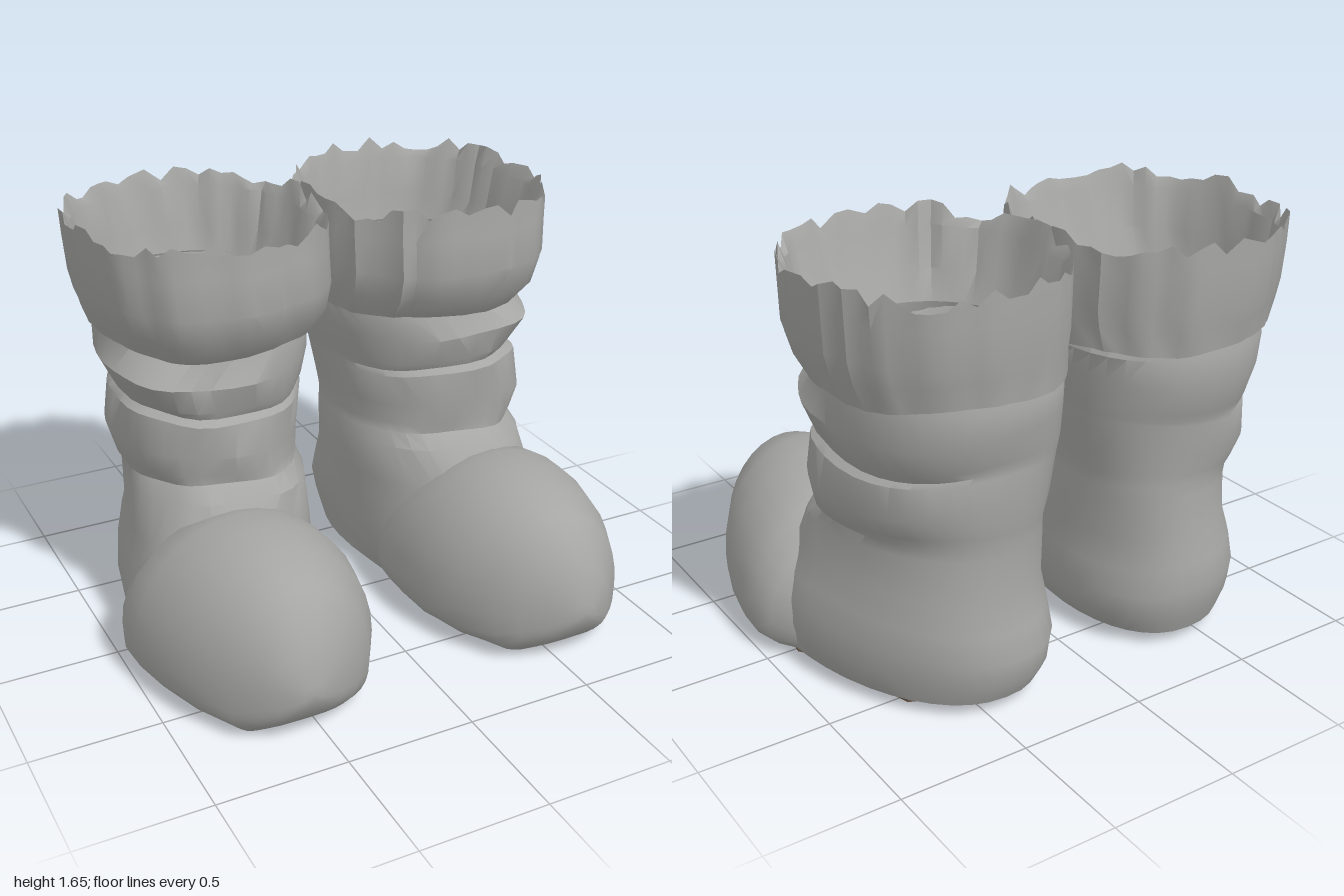
import * as THREE from 'three';
import { toCreasedNormals } from 'three/addons/utils/BufferGeometryUtils.js';

const leather = new THREE.MeshStandardMaterial({ color: 0xa6a6a4, side: THREE.DoubleSide });
leather.name = 'grey leather';
const soleBrown = new THREE.MeshStandardMaterial({ color: 0x675646, side: THREE.DoubleSide });
soleBrown.name = 'brown sole';

function seeded(seed) {
  return () => {
    seed = (seed * 16807) % 2147483647;
    return seed / 2147483647;
  };
}

// Skin over closed rings of points; the last ring can be closed with a fan
function loft(rings, capEnd, crease) {
  const n = rings[0].length;
  const pos = rings.flat(2);
  const index = [];
  for (let r = 0; r < rings.length - 1; r++) {
    for (let i = 0; i < n; i++) {
      const j = (i + 1) % n, a = r * n, b = a + n;
      index.push(a + i, b + i, a + j, a + j, b + i, b + j);
    }
  }
  if (capEnd) {
    const last = rings[rings.length - 1];
    const mid = [0, 1, 2].map(k => last.reduce((s, p) => s + p[k], 0) / n);
    const c = pos.length / 3, a = (rings.length - 1) * n;
    pos.push(...mid);
    for (let i = 0; i < n; i++) index.push(a + i, c, a + (i + 1) % n);
  }
  const g = new THREE.BufferGeometry();
  g.setAttribute('position', new THREE.Float32BufferAttribute(pos, 3));
  g.setIndex(index);
  return toCreasedNormals(g, crease);
}

const pow = (v, e) => Math.sign(v) * Math.pow(Math.abs(v), e);

// Level rounded ring between the given extents
function levelRing(n, side, y, [x0, x1, z0, z1], change) {
  return Array.from({ length: n }, (_, i) => {
    const a = (i / n) * Math.PI * 2;
    const { grow = 0, lift = 0, taper = 0, shear = 0 } = change(a, i);
    const z = (z0 + z1) / 2 + ((z1 - z0) / 2 + grow) * pow(Math.sin(a), 0.88);
    let x = (x0 + x1) / 2 + ((x1 - x0) / 2 + grow) * pow(Math.cos(a), 0.88);
    x = x0 + (x - x0) * (1 - taper * (z1 - z) / (z1 - z0)) + shear * (z - (z0 + z1) / 2);
    return [side * x, y + lift, z];
  });
}

// Slouching shaft with folds: y, inner x, outer x, back z, front z, narrowing to the heel
const shaftRows = [
  [1.30, 0.10, 0.86, -0.79, 0.04, 0],
  [1.20, 0.05, 0.86, -0.83, 0.05, 0],
  [1.09, 0.07, 0.90, -0.825, 0.12, 0.02],
  [0.98, 0.08, 0.85, -0.80, 0.09, 0.02],
  [0.945, 0.09, 0.825, -0.79, 0.07, 0.02],
  [0.925, 0.09, 0.85, -0.79, 0.10, 0.02],
  [0.79, 0.11, 0.87, -0.785, 0.11, 0.03],
  [0.70, 0.12, 0.84, -0.765, 0.10, 0.03],
  [0.66, 0.12, 0.815, -0.76, 0.10, 0.03],
  [0.61, 0.11, 0.83, -0.76, 0.17, 0.04],
  [0.45, 0.12, 0.87, -0.77, 0.24, 0.09],
  [0.34, 0.115, 0.92, -0.80, 0.28, 0.13],
  [0.24, 0.11, 0.95, -0.825, 0.30, 0.16],
  [0.14, 0.12, 0.965, -0.81, 0.30, 0.18],
  [0.05, 0.14, 0.96, -0.77, 0.30, 0.20],
  [0.006, 0.19, 0.92, -0.65, 0.28, 0.20],
];

function shaft(side, phase) {
  const rings = shaftRows.map(([y, x0, x1, z0, z1, taper]) => levelRing(36, side, y, [x0, x1, z0, z1], a => {
    const free = y > 0.1 && y < 1.2 ? 1 : 0;
    const front = Math.max(0, Math.sin(a + 0.2));
    return {
      grow: free * (0.008 * Math.sin(3 * a + 9 * y + phase) + 0.01 * front * Math.sin(7 * a + 17 * y + phase)),
      lift: free * 0.018 * Math.sin(2 * a + 5 * y + phase),
      taper,
      shear: y < 1.15 ? 0.08 : 0,
    };
  }));
  return loft(rings, true, 0.65);
}

// Turned-up cuff: outside going up, ragged rim, then inside going down
const cuffRows = [
  [1.22, 0.07, 0.86, -0.82, 0.05],
  [1.19, 0.03, 0.885, -0.84, 0.10],
  [1.28, 0.015, 0.92, -0.85, 0.175],
  [1.38, 0.005, 0.94, -0.86, 0.21],
  [1.52, 0.005, 0.95, -0.865, 0.195],
  [1.615, 0.005, 0.955, -0.865, 0.19],
  [1.56, 0.03, 0.93, -0.845, 0.165],
  [1.40, 0.06, 0.90, -0.82, 0.13],
  [1.28, 0.11, 0.865, -0.79, 0.06],
  [1.20, 0.14, 0.84, -0.77, 0.04],
];

function cuff(side, seed) {
  const n = 60, random = seeded(seed);
  const pleat = Array.from({ length: n }, () => (random() - 0.5) * 0.028);
  const jag = Array.from({ length: n }, () => (random() - 0.5) * 0.07);
  const rings = cuffRows.map(([y, ...box], r) => levelRing(n, side, y, box, (a, i) => ({
    grow: r > 0 && r < 8 ? pleat[i] * (r < 2 ? 0.4 : 1) : 0,
    lift: r === 5 ? jag[i] : r < 3 ? 0.015 - 0.025 * Math.sin(a) + 0.01 * Math.sin(4 * a) : 0,
  })));
  return loft(rings, false, 0.65);
}

// Rounded toe cap: z, inner x, outer x, bottom, widest height, top
const toeRows = [
  [-0.08, 0.20, 0.90, 0.006, 0.12, 0.40],
  [0.01, 0.14, 0.975, 0.006, 0.14, 0.50],
  [0.10, 0.13, 1.00, 0.006, 0.14, 0.585],
  [0.22, 0.125, 0.995, 0.006, 0.15, 0.615],
  [0.38, 0.13, 0.965, 0.006, 0.16, 0.632],
  [0.55, 0.175, 0.91, 0.006, 0.18, 0.61],
  [0.71, 0.27, 0.82, 0.006, 0.20, 0.56],
  [0.77, 0.34, 0.76, 0.05, 0.21, 0.49],
  [0.83, 0.43, 0.70, 0.11, 0.22, 0.40],
  [0.875, 0.53, 0.61, 0.19, 0.22, 0.26],
];

function toe(side) {
  const n = 32;
  const rings = toeRows.map(([z, x0, x1, bottom, wide, top]) => Array.from({ length: n }, (_, i) => {
    const a = (i / n) * Math.PI * 2, c = Math.cos(a), s = Math.sin(a);
    const low = s < 0;
    // the outer lower edge is squarer than the inner one
    const x = (x0 + x1) / 2 + ((x1 - x0) / 2) * (low ? pow(c, c > 0 ? 0.42 : 0.65) : c);
    const y = wide + (low ? (wide - bottom) * pow(s, 0.55) : (top - wide) * s);
    return [side * x, y, z];
  }));
  return loft(rings, true, 0.7);
}

// Thin brown patch let into the floor, seen from inside and below
function patch(points) {
  const shape = new THREE.Shape(points.map(([x, z]) => new THREE.Vector2(x, -z)));
  return new THREE.ExtrudeGeometry(shape, { depth: 0.009, bevelEnabled: false }).rotateX(-Math.PI / 2);
}

const rightPatches = [
  [[-0.61, -0.57], [-0.27, -0.54], [-0.23, -0.50], [-0.22, -0.45], [-0.23, -0.31], [-0.25, -0.28], [-0.30, -0.27],
    [-0.45, -0.28], [-0.70, -0.35], [-0.70, -0.40], [-0.67, -0.52], [-0.65, -0.55]],
  [[-0.78, -0.22], [-0.70, -0.21], [-0.30, -0.07], [-0.24, -0.05], [-0.41, 0.03], [-0.91, 0.22], [-0.92, 0.12], [-0.80, -0.13]],
  [[-0.62, 0.38], [-0.70, 0.38], [-0.64, 0.44]],
];
const leftPatches = [
  [[0.37, -0.65], [0.44, -0.65], [0.70, -0.54], [0.74, -0.42], [0.57, -0.31], [0.60, -0.25], [0.76, -0.18], [0.88, -0.02],
    [0.84, 0.28], [0.33, 0.07], [0.28, -0.07], [0.55, -0.19], [0.55, -0.24], [0.50, -0.27], [0.24, -0.27], [0.23, -0.34], [0.29, -0.43], [0.30, -0.53]],
];

function boot(name, side, phase, seed, patches) {
  const group = new THREE.Group();
  group.name = name;
  const add = (partName, geometry, material) => {
    const mesh = new THREE.Mesh(geometry, material);
    mesh.name = partName;
    group.add(mesh);
  };
  add('shaft', shaft(side, phase), leather);
  add('cuff', cuff(side, seed), leather);
  add('toeCap', toe(side), leather);
  patches.forEach(p => add('solePatch', patch(p), soleBrown));
  return group;
}

export function createModel() {
  const model = new THREE.Group();
  model.name = 'pairOfBoots';
  model.add(boot('leftBoot', 1, 0.4, 4211, leftPatches));
  model.add(boot('rightBoot', -1, 2.1, 9173, rightPatches));
  return model;
}
